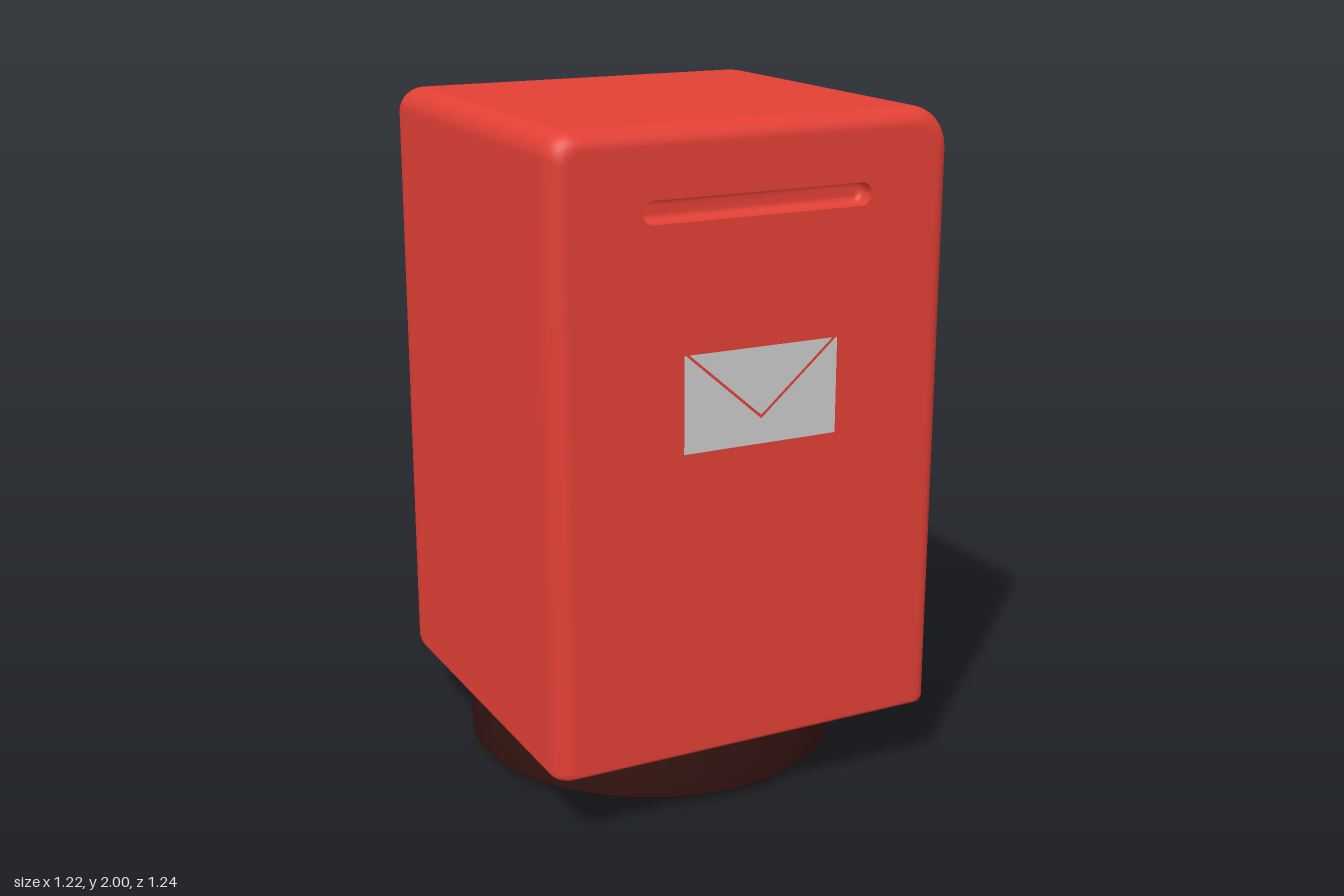
import * as THREE from 'three';

const red = new THREE.MeshStandardMaterial({ color: 0xe24036 });
const dark = new THREE.MeshStandardMaterial({ color: 0x341411 });
const grey = new THREE.MeshStandardMaterial({ color: 0xcccccc, side: THREE.DoubleSide });

// Rounded rectangle, counter-clockwise; radii: bottom right, top right, top left, bottom left
function roundedRing(x0, x1, y0, y1, radii, z, seg = 8) {
  const corners = [[x1, y0, -1, 1], [x1, y1, -1, -1], [x0, y1, 1, -1], [x0, y0, 1, 1]];
  const ring = [];
  corners.forEach(([x, y, sx, sy], k) => {
    const r = radii[k];
    for (let i = 0; i <= seg; i++) {
      const a = (k - 1 + i / seg) * Math.PI / 2;
      ring.push(new THREE.Vector3(x + sx * r + r * Math.cos(a), y + sy * r + r * Math.sin(a), z));
    }
  });
  return ring;
}

// All points of a ring gathered at one centre, closing a loft
const pole = (ring, x, y) => ring.map(p => new THREE.Vector3(x, y, p.z));

function loft(rings) {
  const n = rings[0].length, index = [];
  for (let i = 0; i < rings.length - 1; i++) {
    for (let j = 0; j < n; j++) {
      const a = i * n + j, b = i * n + (j + 1) % n;
      index.push(a, b, b + n, a, b + n, a + n);
    }
  }
  const g = new THREE.BufferGeometry().setFromPoints(rings.flat());
  g.setIndex(index);
  g.computeVertexNormals();
  return g;
}

function add(parent, name, geometry, material) {
  const mesh = new THREE.Mesh(geometry, material);
  mesh.name = name;
  parent.add(mesh);
  return mesh;
}

const BACK = -0.62, FRONT = 0.602, STEPS = 10;

// Body section, drawn in by separate amounts at left, right, top and bottom
function bodyRing(l, r, t, b, z) {
  const corner = k => Math.max(0.015, k - Math.max(l, r, t) * 0.5);
  return roundedRing(-0.61 + l, 0.61 - r, 0.2 + b, 2 - t, [0.02, corner(0.11), corner(0.07), 0.02], z);
}

// Slot outline at a given inset and depth
function slotRing(inset, depth) {
  const r = 0.031 - inset;
  return roundedRing(-0.35 + inset, 0.347 - inset, 1.745 + inset, 1.809 - inset,
    [r, r, r, r], FRONT - depth, 5);
}

const toPath = (ring, Type) => new Type(ring.map(p => new THREE.Vector2(p.x, p.y)));

export function createModel() {
  const model = new THREE.Group();
  const box = new THREE.Group();
  box.name = 'box';
  model.add(box);

  // Shell: wide soft edges at the back, tighter ones at the front
  const rings = [bodyRing(0.09, 0.13, 0.13, 0.035, BACK)];
  for (let i = 0; i <= STEPS; i++) {
    const a = i / STEPS * Math.PI / 2, f = 1 - Math.sin(a);
    rings.push(bodyRing(0.07 * f, 0.11 * f, 0.11 * f, 0.02 * f, BACK + 0.15 * (1 - Math.cos(a))));
  }
  for (let i = 0; i <= STEPS; i++) {
    const a = i / STEPS * Math.PI / 2, f = 1 - Math.cos(a);
    rings.push(bodyRing(0.05 * f, 0.05 * f, 0.05 * f, 0.02 * f, FRONT - 0.07 * (1 - Math.sin(a))));
  }
  const edge = bodyRing(0.06, 0.06, 0.06, 0.03, FRONT);
  rings.push(edge);
  rings.unshift(pole(rings[0], 0, 1.1));
  add(box, 'shell', loft(rings), red);

  // Front panel with the slot opening
  const panel = toPath(edge, THREE.Shape);
  panel.holes.push(toPath(slotRing(0, 0), THREE.Path));
  add(box, 'frontPanel', new THREE.ShapeGeometry(panel), red).position.z = FRONT;

  // Slot recess with a rounded floor
  const recess = [slotRing(0, 0), slotRing(0, 0.035)];
  for (let i = 1; i <= 5; i++) {
    const a = i / 5 * Math.PI / 2;
    recess.push(slotRing(0.02 * (1 - Math.cos(a)), 0.035 + 0.02 * Math.sin(a)));
  }
  recess.push(pole(recess[recess.length - 1], 0, 1.777));
  add(box, 'slotRecess', loft(recess), red);

  // Envelope sign: pocket and flap with a narrow V gap
  const envelope = new THREE.Group();
  envelope.name = 'envelopeSign';
  envelope.position.z = 0.62;
  model.add(envelope);
  const flat = pts => new THREE.ShapeGeometry(new THREE.Shape(pts.map(p => new THREE.Vector2(...p))));
  add(envelope, 'envelopePocket', flat([[-0.237, 1.115], [0.237, 1.115], [0.237, 1.39],
    [0.233, 1.39], [0, 1.187], [-0.233, 1.39], [-0.237, 1.39]]), grey);
  add(envelope, 'envelopeFlap', flat([[-0.222, 1.39], [0, 1.197], [0.222, 1.39]]), grey);

  // Round foot with a softened lower rim
  const profile = [[0, 0], [0.3, 0.002], [0.44, 0.006], [0.52, 0.012], [0.555, 0.02],
    [0.565, 0.032], [0.565, 0.1], [0.565, 0.22]].map(p => new THREE.Vector2(...p));
  add(model, 'foot', new THREE.LatheGeometry(profile, 64), dark).position.set(-0.015, 0, -0.035);

  return model;
}
